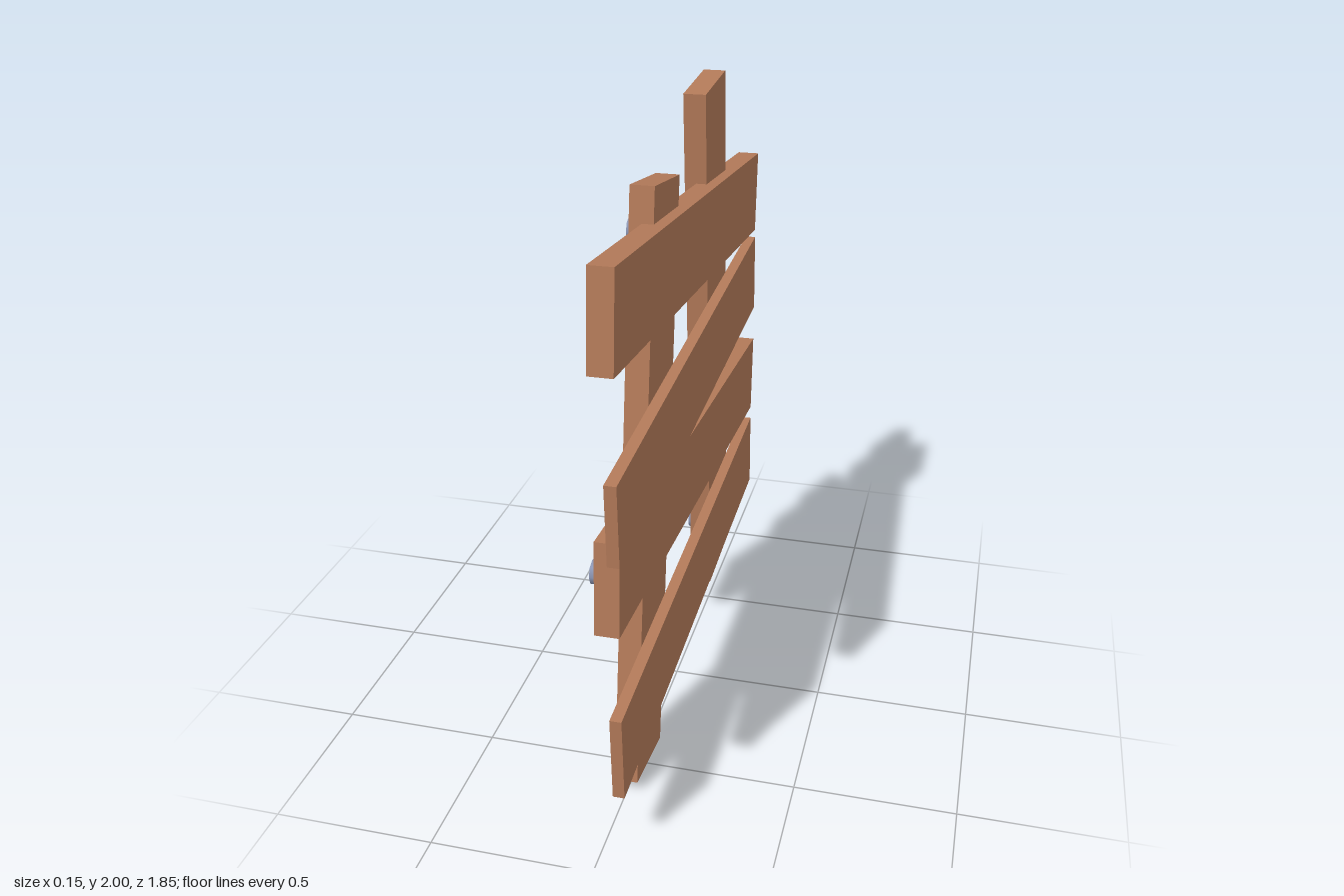
import * as THREE from 'three';

const rad = THREE.MathUtils.degToRad;

export function createModel() {
  const wood = new THREE.MeshStandardMaterial({ color: 0xb37a59 });
  wood.name = 'wood';
  const steel = new THREE.MeshStandardMaterial({ color: 0x8d97b5 });
  steel.name = 'steel';

  const model = new THREE.Group();
  model.name = 'plankBarricade';

  // A board lying in the yz plane between x0 and x1, tilted about x
  function board(name, x0, x1, y, z, sizeY, sizeZ, tilt) {
    const mesh = new THREE.Mesh(new THREE.BoxGeometry(x1 - x0, sizeY, sizeZ), wood);
    mesh.name = name;
    mesh.position.set((x0 + x1) / 2, y, z);
    mesh.rotation.x = rad(tilt);
    model.add(mesh);
  }

  // Two leaning uprights
  board('uprightFront', -0.037, 0.034, 0.931, 0.375, 1.833, 0.28, -8.15);
  board('uprightBack', -0.037, 0.034, 1.078, -0.4375, 1.831, 0.28, 4.54);

  // Cross planks: [centre height, back face x, tilt]
  const planks = [
    [1.578, 0, -5.34],
    [1.135, 0.036, 3.1],
    [0.84, 0, -4.08],
    [0.398, 0.036, 3.1],
  ];
  planks.forEach(([y, x0, tilt], i) =>
    board(`crossPlank${i + 1}`, x0, 0.071, y, 0, 0.279, 1.828, tilt));

  // Bolt heads on the rear side: [outer x, y, z]
  const bolts = [
    [-0.075, 1.695, 0.26],
    [-0.075, 0.34, -0.51],
    [-0.038, 1.503, -0.805],
    [-0.038, 0.783, -0.79],
    [-0.038, 0.89, 0.8],
  ];
  const boltGeometry = new THREE.CylinderGeometry(0.036, 0.036, 0.045, 8);
  boltGeometry.rotateZ(Math.PI / 2);
  bolts.forEach(([x, y, z], i) => {
    const bolt = new THREE.Mesh(boltGeometry, steel);
    bolt.name = `bolt${i + 1}`;
    bolt.position.set(x + 0.0225, y, z);
    model.add(bolt);
  });

  return model;
}
